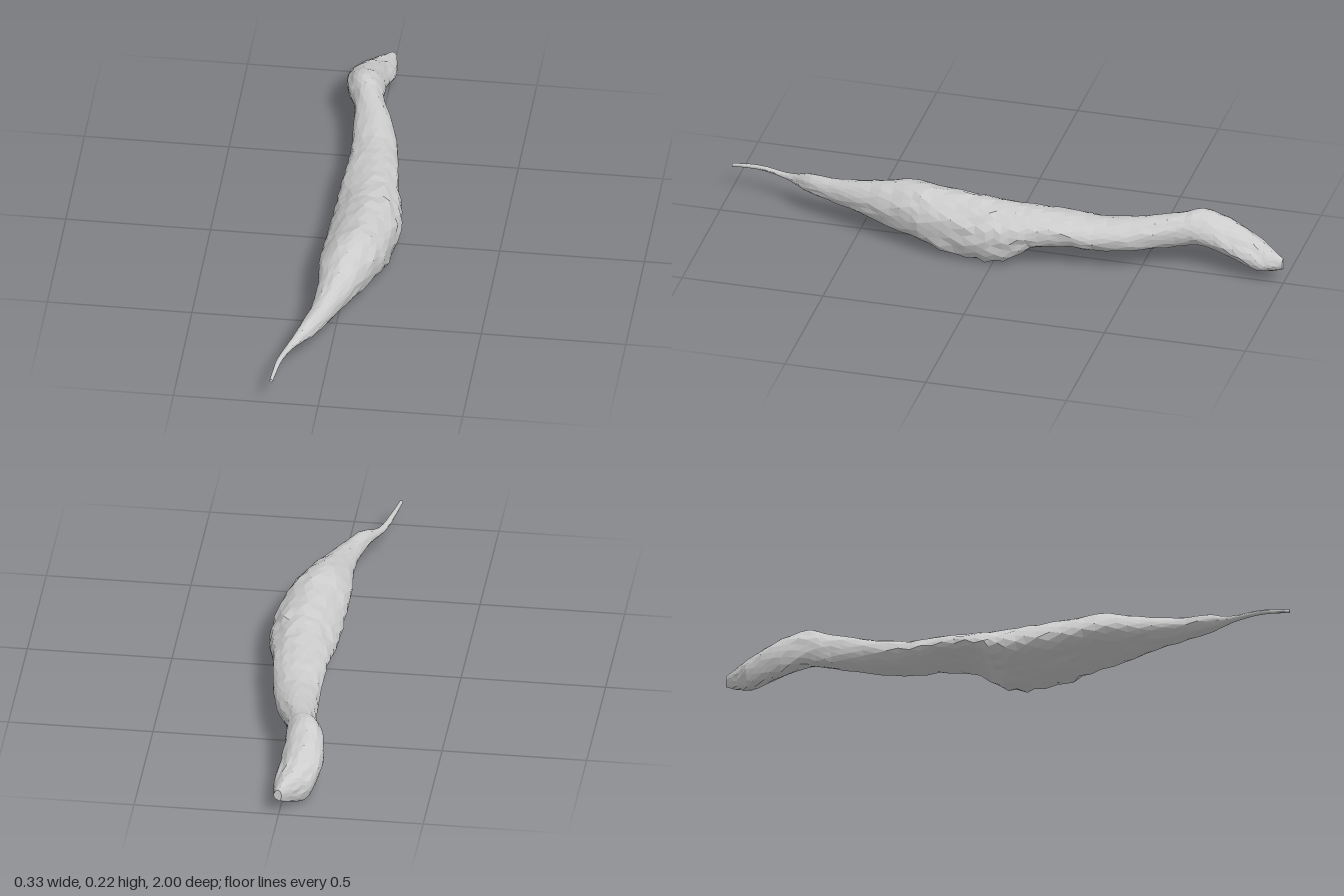
import * as THREE from 'three';

// Stations along the body: z, xMin, xMax, yMin, yMax, lean (+1 belly hangs left, -1 right)
const STATIONS = [
  [-1.0, -0.01, 0.018, 0.06, 0.105, -0.8],
  [-0.95, -0.06, 0.025, 0.03, 0.125, -0.8],
  [-0.9, -0.105, 0.03, 0.015, 0.145, -0.8],
  [-0.8, -0.128, 0.018, 0.045, 0.19, -0.7],
  [-0.7, -0.115, 0.015, 0.08, 0.223, -0.5],
  [-0.62, -0.083, 0.025, 0.085, 0.21, -0.2],
  [-0.5, -0.07, 0.07, 0.078, 0.193, 0.1],
  [-0.37, -0.062, 0.1, 0.072, 0.182, 0.4],
  [-0.25, -0.065, 0.118, 0.083, 0.19, 0.6],
  [-0.13, -0.07, 0.137, 0.068, 0.2, 0.9],
  [-0.04, -0.078, 0.158, 0.012, 0.21, 1],
  [0.06, -0.083, 0.163, 0.005, 0.22, 1],
  [0.2, -0.085, 0.148, 0.025, 0.228, 1],
  [0.32, -0.087, 0.115, 0.047, 0.23, 0.9],
  [0.45, -0.075, 0.065, 0.068, 0.2, 0.8],
  [0.58, -0.077, 0.012, 0.082, 0.168, 0.6],
  [0.7, -0.104, -0.04, 0.088, 0.152, 0.4],
  [0.76, -0.123, -0.085, 0.092, 0.126, 0.2],
  [0.81, -0.14, -0.115, 0.096, 0.115, 0],
  [0.9, -0.159, -0.141, 0.101, 0.117, 0],
  [1.0, -0.168, -0.156, 0.093, 0.105, 0],
];

// Unit cross-section: domed back, belly hanging to one side
const LEANING = [
  [1, -0.1], [0.95, 0.35], [0.6, 0.8], [0.1, 1], [-0.45, 0.78], [-0.85, 0.35],
  [-1, -0.05], [-0.75, -0.35], [-0.3, -0.58], [0.2, -0.85], [0.65, -1], [0.9, -0.65],
];

const SIDES = 20;
const RINGS = 64;

function seeded(seed) {
  return () => {
    seed = (seed * 16807) % 2147483647;
    return seed / 2147483647 - 0.5;
  };
}

// Resample the unit section by angle so each lean blends point by point
function unitRadius(angle) {
  const d = [Math.cos(angle), Math.sin(angle)];
  for (let i = 0; i < LEANING.length; i++) {
    const a = LEANING[i], b = LEANING[(i + 1) % LEANING.length];
    const ex = b[0] - a[0], ey = b[1] - a[1];
    const det = d[0] * ey - d[1] * ex;
    const r = (a[0] * ey - a[1] * ex) / det;
    const s = (a[0] * d[1] - a[1] * d[0]) / det;
    if (r > 0 && s >= -1e-6 && s <= 1 + 1e-6) return r;
  }
  return 1;
}

// Smooth interpolation of one station column
function sample(t, column) {
  const f = t * (STATIONS.length - 1);
  const i = Math.min(Math.floor(f), STATIONS.length - 2), u = f - i;
  const at = (k) => STATIONS[Math.min(Math.max(k, 0), STATIONS.length - 1)][column];
  const p0 = at(i - 1), p1 = at(i), p2 = at(i + 1), p3 = at(i + 2);
  return p1 + 0.5 * u * (p2 - p0 + u * (2 * p0 - 5 * p1 + 4 * p2 - p3 + u * (3 * (p1 - p2) + p3 - p0)));
}

function bodyGeometry() {
  const rand = seeded(4271);
  const positions = [], index = [];
  const centre = (t) => [
    (sample(t, 1) + sample(t, 2)) / 2, (sample(t, 3) + sample(t, 4)) / 2, sample(t, 0),
  ];
  for (let i = 0; i <= RINGS; i++) {
    const t = i / RINGS;
    const [z, x0, x1, y0, y1, lean] = [0, 1, 2, 3, 4, 5].map((c) => sample(t, c));
    const size = Math.min(x1 - x0, y1 - y0);
    const ends = i === 0 || i === RINGS;
    for (let j = 0; j < SIDES; j++) {
      const angle = ((j + (i % 2) * 0.5) / SIDES) * Math.PI * 2;
      const k = Math.abs(lean);
      const r = 1 + (unitRadius(lean < 0 ? Math.PI - angle : angle) - 1) * k;
      const bump = 1 + rand() * 0.07;
      positions.push(
        (x0 + x1) / 2 + ((x1 - x0) / 2) * Math.cos(angle) * r * bump,
        Math.max(0, (y0 + y1) / 2 + ((y1 - y0) / 2) * Math.sin(angle) * r * bump),
        z + (ends ? 0 : rand() * 0.08 * size),
      );
    }
  }
  for (let i = 0; i < RINGS; i++) {
    for (let j = 0; j < SIDES; j++) {
      const n = (j + 1) % SIDES;
      const a = i * SIDES + j, b = i * SIDES + n;
      const c = a + SIDES, d = b + SIDES;
      if (i % 2) index.push(a, b, d, a, d, c);
      else index.push(a, b, c, b, d, c);
    }
  }
  // Close both ends
  const first = positions.length / 3;
  positions.push(...centre(0), ...centre(1));
  for (let j = 0; j < SIDES; j++) {
    const n = (j + 1) % SIDES;
    index.push(first, n, j, first + 1, RINGS * SIDES + j, RINGS * SIDES + n);
  }
  const geometry = new THREE.BufferGeometry();
  geometry.setAttribute('position', new THREE.Float32BufferAttribute(positions, 3));
  geometry.setIndex(index);
  geometry.computeVertexNormals();
  return geometry;
}

export function createModel() {
  const group = new THREE.Group();
  group.name = 'taperedPod';
  const material = new THREE.MeshStandardMaterial({ color: 0xcccccc, flatShading: true });
  // One continuous skin: blunt end, narrow neck, swollen belly and thin stalk
  const body = new THREE.Mesh(bodyGeometry(), material);
  body.name = 'podBody';
  group.add(body);
  return group;
}
